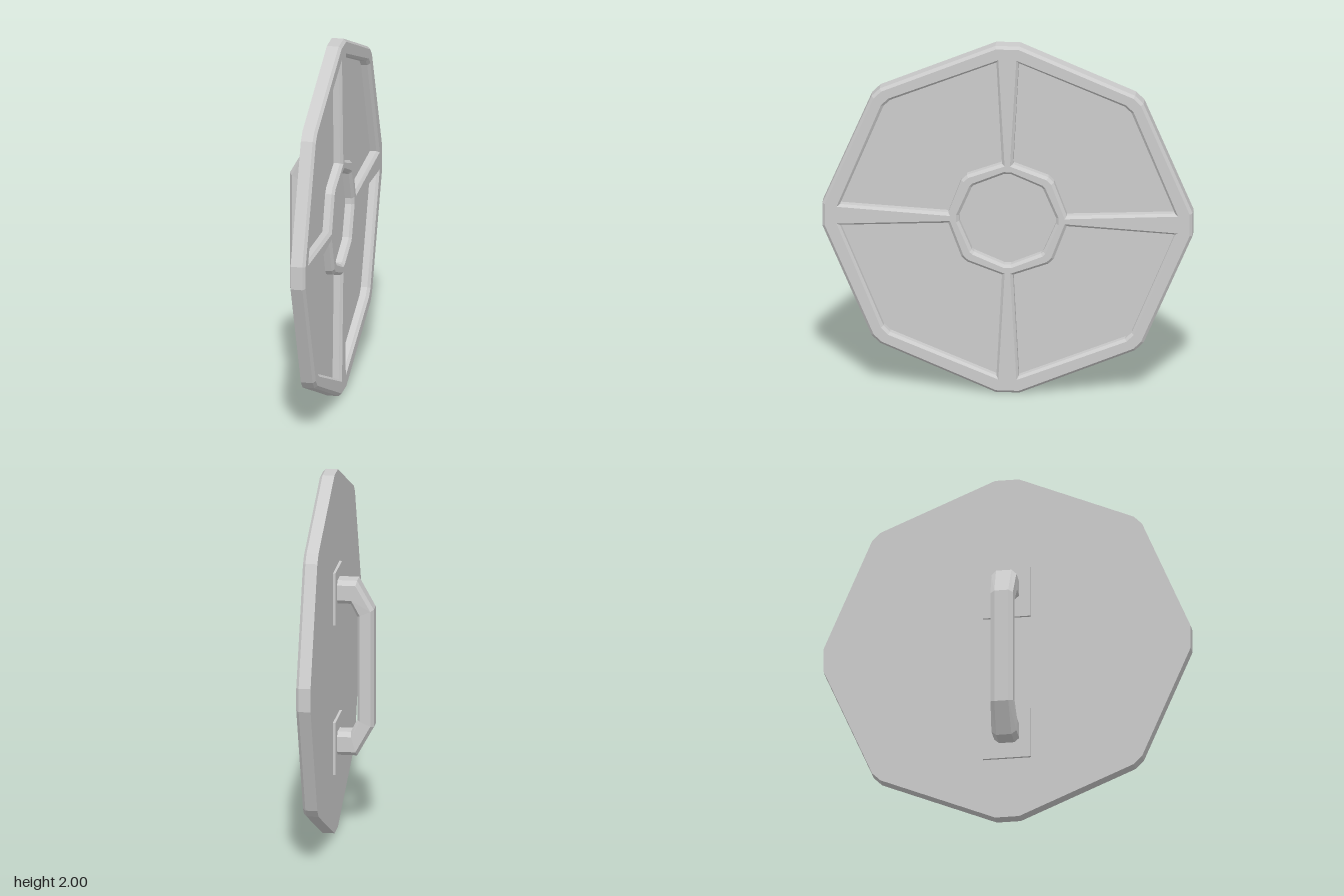
import * as THREE from 'three';

const material = new THREE.MeshStandardMaterial({ color: 0xcccccc, flatShading: true });

// Octagon with points on the axes and every corner slightly cut
function outline(scale) {
  const points = [];
  for (let q = 0; q < 4; q++) {
    for (const [u, v] of [[1, 0.065], [0.735, 0.69], [0.69, 0.735], [0.065, 1]]) {
      points.push(new THREE.Vector2(u, v).multiplyScalar(scale).rotateAround(new THREE.Vector2(), q * Math.PI / 2));
    }
  }
  return points;
}

// Sunken panel between two spokes, one per quadrant
function panelOutline(quadrant) {
  return [[0.06, 0.905], [0.03, 0.32], [0.22, 0.25], [0.25, 0.22], [0.32, 0.03],
    [0.905, 0.06], [0.67, 0.635], [0.635, 0.67]].map(([u, v]) =>
    new THREE.Vector2(u, v).rotateAround(new THREE.Vector2(), quadrant * Math.PI / 2));
}

// Extrude a face drawn in the y/z plane along +x
function addSlab(group, name, shape, x, options) {
  const geometry = new THREE.ExtrudeGeometry(shape, options);
  geometry.rotateY(Math.PI / 2);
  geometry.translate(x, 1, 0);
  const mesh = new THREE.Mesh(geometry, material);
  mesh.name = name;
  group.add(mesh);
}

// Grip swept through pairs of outer and inner points, with a chamfered section
function handleGeometry() {
  const half = [
    [0.05, 1.41, 0.05, 1.28, 1],
    [-0.06, 1.41, -0.025, 1.28, 1],
    [-0.15, 1.25, -0.06, 1.21, 0.9],
  ];
  const middle = 0.922;
  const mirrored = half.map(([ox, oy, ix, iy, w]) => [ox, 2 * middle - oy, ix, 2 * middle - iy, w]).reverse();
  const section = [[0, 0.042], [0.18, 0.068], [0.82, 0.068], [1, 0.042],
    [1, -0.042], [0.82, -0.068], [0.18, -0.068], [0, -0.042]];
  const positions = [];
  const index = [];
  const rings = [...half, ...mirrored];
  rings.forEach(([ox, oy, ix, iy, w], r) => {
    section.forEach(([t, z], k) => {
      positions.push(ox + (ix - ox) * t, oy + (iy - oy) * t, z * w);
      if (r === rings.length - 1) return;
      const a = r * 8 + k, b = r * 8 + (k + 1) % 8;
      index.push(a, a + 8, b + 8, a, b + 8, b);
    });
  });
  const geometry = new THREE.BufferGeometry();
  geometry.setAttribute('position', new THREE.Float32BufferAttribute(positions, 3));
  geometry.setIndex(index);
  const flat = geometry.toNonIndexed();
  flat.computeVertexNormals();
  return flat;
}

export function createModel() {
  const group = new THREE.Group();
  group.name = 'shield';

  // Back plate, whose front forms the floor of the panels
  addSlab(group, 'backPlate', new THREE.Shape(outline(1)), 0.06, { depth: 0.03, bevelEnabled: false });

  // Raised rim, spokes and hub ring, with chamfered front edges
  const frame = new THREE.Shape(outline(1));
  for (let q = 0; q < 4; q++) frame.holes.push(new THREE.Path(panelOutline(q)));
  frame.holes.push(new THREE.Path(outline(0.262)));
  addSlab(group, 'raisedFrame', frame, 0.09, {
    depth: 0.035, bevelThickness: 0.015, bevelSize: 0.015, bevelOffset: -0.015, bevelSegments: 1,
  });

  // Handle on the back
  const handle = new THREE.Mesh(handleGeometry(), material);
  handle.name = 'handle';
  group.add(handle);

  // Mounting plates under the handle ends
  for (const [name, y] of [['upperMount', 1.325], ['lowerMount', 0.49]]) {
    const mount = new THREE.Mesh(new THREE.BoxGeometry(0.02, 0.29, 0.26), material);
    mount.position.set(0.056, y, 0);
    mount.name = name;
    group.add(mount);
  }
  return group;
}
